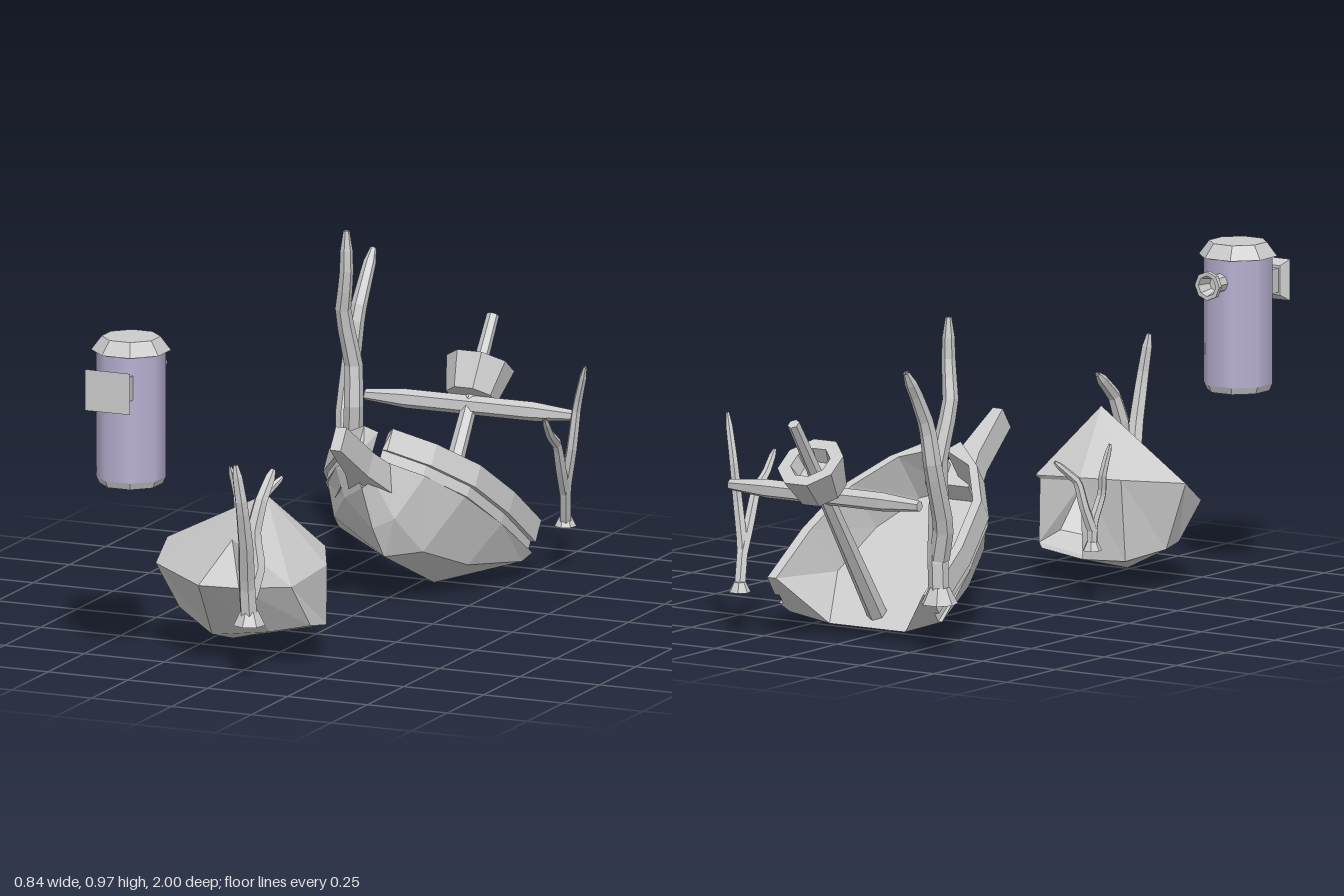
import * as THREE from 'three';

const flat = new THREE.MeshStandardMaterial({ color: 0xcccccc, flatShading: true, side: THREE.DoubleSide });
const violet = new THREE.MeshStandardMaterial({ color: 0xb9b0d2, side: THREE.DoubleSide });

function add(parent, name, geometry, pos = [0, 0, 0], material = flat) {
  const mesh = new THREE.Mesh(geometry, material);
  mesh.name = name;
  mesh.position.set(...pos);
  parent.add(mesh);
  return mesh;
}

const lathe = (points, sides) => new THREE.LatheGeometry(points.map(p => new THREE.Vector2(...p)), sides);

// Joins equal-length loops of points; caps and skip(i, j) are optional
function loft(loops, caps = [], skip = () => false) {
  const n = loops[0].length, index = [];
  for (let i = 0; i < loops.length - 1; i++) {
    for (let j = 0; j < n; j++) {
      if (skip(i, j)) continue;
      const a = i * n + j, b = i * n + (j + 1) % n;
      index.push(a, b, b + n, a, b + n, a + n);
    }
  }
  const last = (loops.length - 1) * n;
  for (const [a, b, c] of caps) index.push(a, c, b, last + a, last + b, last + c);
  const g = new THREE.BufferGeometry();
  g.setAttribute('position', new THREE.Float32BufferAttribute(loops.flat(2), 3));
  g.setIndex(index);
  g.computeVertexNormals();
  return g;
}

// Six-sided kinked stem that thins towards its tip
function stem(points, radius) {
  const curve = new THREE.CatmullRomCurve3(points.map(p => new THREE.Vector3(...p)), false, 'catmullrom', 0.12);
  const steps = 14, sides = 6;
  const g = new THREE.TubeGeometry(curve, steps, radius, sides);
  const pos = g.attributes.position, v = new THREE.Vector3();
  for (let i = 0; i <= steps; i++) {
    const c = curve.getPointAt(i / steps);
    const k = i === steps ? 0.3 : 1 - 0.45 * (i / steps) ** 2;
    for (let j = 0; j <= sides; j++) {
      const id = i * (sides + 1) + j;
      v.fromBufferAttribute(pos, id).sub(c).multiplyScalar(k).add(c);
      pos.setXYZ(id, v.x, v.y, v.z);
    }
  }
  return g;
}

function seaweed(name, radius, stems) {
  const g = new THREE.Group();
  g.name = name;
  const [x, y, z] = stems[0][0], h = radius * 1.6;
  add(g, 'weedFoot', new THREE.CylinderGeometry(radius, radius * 1.8, h, 7), [x, y + h / 2, z]);
  stems.forEach(p => add(g, 'weedStem', stem(p, radius)));
  return g;
}

// Filter canister with lid, front plate and rear nozzle
function filter() {
  const g = new THREE.Group();
  g.name = 'filter';
  g.position.set(-0.314, 0, 0.837);
  const drum = (name, top, bottom, y0, y1, mat, open = false) => {
    const geo = new THREE.CylinderGeometry(top, bottom, y1 - y0, 8, 1, open).rotateY(Math.PI / 8);
    add(g, name, geo, [0, (y0 + y1) / 2, 0], mat);
  };
  drum('body', 0.1, 0.1, 0.56, 0.932, violet, true);
  drum('bodyBase', 0.1, 0.091, 0.54, 0.56, flat);
  drum('lid', 0.084, 0.114, 0.93, 0.97, flat);
  add(g, 'plateNeck', new THREE.BoxGeometry(0.09, 0.07, 0.06), [0, 0.84, 0.115]);
  const plate = new THREE.CylinderGeometry(0.099, 0.07, 0.022, 4).rotateY(Math.PI / 4).rotateX(Math.PI / 2);
  add(g, 'frontPlate', plate.scale(1, 0.86, 1), [0, 0.84, 0.152]);
  const profile = [[0.027, 0], [0.027, 0.04], [0.042, 0.06], [0.042, 0.074], [0.03, 0.074], [0.02, 0.03], [0, 0.03]];
  add(g, 'nozzle', lathe(profile, 8).rotateX(-Math.PI / 2), [0, 0.862, -0.085]);
  return g;
}

// Faceted rock, hollow, with its mouth towards the back
function rockCave() {
  const wide = [[-0.34, 0.315, 0.53], [-0.205, 0.33, 0.4], [-0.085, 0.33, 0.37], [0.11, 0.31, 0.43], [0.16, 0.28, 0.53],
    [0.13, 0.25, 0.71], [0.0, 0.25, 0.785], [-0.12, 0.25, 0.8], [-0.34, 0.255, 0.61]];
  const base = [[-0.28, 0.12, 0.52], [-0.2, 0.09, 0.43], [-0.08, 0.09, 0.39], [0.09, 0.1, 0.435], [0.15, 0.1, 0.51],
    [0.15, 0.12, 0.62], [0.04, 0.1, 0.66], [-0.14, 0.075, 0.66], [-0.27, 0.13, 0.6]];
  const peak = [0.01, 0.493, 0.62];
  const top = wide.map(() => peak);
  // One front corner swells outwards; the rest runs straight to the peak
  const shoulder = wide.map((p, j) => p.map((v, a) =>
    peak[a] + (v - peak[a]) * (j === 6 ? 0.85 : 0.5) + (j === 6 && a === 1 ? 0.08 : 0)));
  const under = wide.map(() => [-0.12, 0.045, 0.56]);
  const g = new THREE.Group();
  g.name = 'rockCave';
  add(g, 'rock', loft([under, base, wide, shoulder, top], [], (i, j) => i === 1 && (j === 2 || j === 3)));
  return g;
}

// Sunken ship, built level and then tilted bow up
function shipwreck() {
  const g = new THREE.Group();
  g.name = 'shipwreck';
  g.rotation.x = -35 * Math.PI / 180;
  g.position.x = -0.006;

  // Stations: z, rim and side half-width, left chine, right chine, keel, deck half-width
  const stations = [
    [-0.476, 0.282, 0.28, [0.255, 0.4], [-0.28, 0.43], [0.045, 0.275, -0.387], 0.13],
    [-0.27, 0.275, 0.26, [0.19, 0.295], [-0.235, 0.37], [0.05, 0.245, -0.25], 0.215],
    [-0.083, 0.238, 0.215, [0.13, 0.25], [-0.17, 0.33], [0.04, 0.203, -0.03], 0.185],
    [0.05, 0.15, 0.14, [0.08, 0.29], [-0.09, 0.34], [0.02, 0.255, 0.05], 0.11],
    [0.138, 0.045, 0.04, [0.025, 0.37], [-0.025, 0.37], [0, 0.338, 0.144], 0.02],
  ];
  const loops = stations.map(([z, rim, side, left, right, keel, deck], i) => {
    const back = i === 4 ? 0.04 : 0, neck = rim - 0.016;
    const half = [[side, 0.43, z], [neck, 0.43, z], [neck, 0.463, z], [rim, 0.463, z], [rim, 0.531, z],
      [Math.max(rim - 0.03, 0.015), 0.531, z - back], [deck, 0.37, z - back]];
    const mirrored = half.map(([x, y, d]) => [-x, y, d]).reverse();
    return [keel, [...left, z], ...half, ...mirrored, [...right, z]];
  });
  const halfCap = [[0, 1, 8], [1, 2, 3], [1, 3, 8], [3, 4, 8], [4, 5, 6], [4, 6, 7], [4, 7, 8]];
  const mirrorCap = halfCap.map(tri => tri.map(k => (17 - k) % 17));
  add(g, 'hull', loft(loops, [...halfCap, ...mirrorCap, [0, 8, 9]]));

  // Bowsprit
  const rect = (w, z) => [[-w, 0.355, z], [w, 0.355, z], [w, 0.428, z], [-w, 0.428, z]];
  add(g, 'bowsprit', loft([rect(0.075, 0.06), rect(0.035, 0.2), rect(0.017, 0.38)], [[0, 1, 2], [0, 2, 3]]));

  // Mast, yard and lookout tub
  add(g, 'mast', new THREE.CylinderGeometry(0.018, 0.03, 0.756, 6), [0, 0.738, -0.416]);
  const spar = [[0, -0.325], [0.016, -0.325], [0.028, -0.2], [0.028, 0.2], [0.016, 0.325], [0, 0.325]];
  add(g, 'yard', lathe(spar, 6).rotateZ(Math.PI / 2), [0, 0.835, -0.416]);
  const tub = [[0, 0.86], [0.075, 0.86], [0.1, 0.965], [0.06, 0.965], [0.05, 0.92], [0, 0.92]];
  add(g, 'lookoutTub', lathe(tub, 8).rotateY(Math.PI / 8), [0, 0, -0.416]);
  return g;
}

export function createModel() {
  const model = new THREE.Group();
  model.name = 'aquariumDecor';
  model.add(filter(), rockCave(), shipwreck());

  // Seaweed clumps, each a main stem and a branch
  model.add(
    seaweed('frontWeed', 0.026, [
      [[0.055, 0.16, 0.835], [0.055, 0.28, 0.85], [0.07, 0.4, 0.89], [0.075, 0.53, 0.93], [0.06, 0.65, 0.94]],
      [[0.055, 0.24, 0.835], [0.06, 0.32, 0.79], [0.04, 0.41, 0.775], [0.05, 0.5, 0.745], [0.05, 0.575, 0.66]],
    ]),
    seaweed('sideWeed', 0.018, [
      [[0.31, 0.13, -0.785], [0.33, 0.25, -0.74], [0.36, 0.38, -0.72], [0.375, 0.5, -0.72], [0.415, 0.625, -0.69]],
      [[0.325, 0.23, -0.75], [0.335, 0.31, -0.7], [0.345, 0.4, -0.65], [0.35, 0.44, -0.59], [0.36, 0.5, -0.53]],
    ]),
    seaweed('tallWeed', 0.03, [
      [[-0.335, 0.15, -0.725], [-0.33, 0.29, -0.725], [-0.31, 0.43, -0.69], [-0.315, 0.56, -0.7], [-0.33, 0.72, -0.66], [-0.31, 0.83, -0.64], [-0.31, 0.965, -0.64]],
      [[-0.335, 0.28, -0.725], [-0.36, 0.38, -0.74], [-0.37, 0.56, -0.81], [-0.36, 0.68, -0.825], [-0.355, 0.77, -0.87], [-0.355, 0.85, -0.925]],
    ]),
    seaweed('smallWeed', 0.016, [
      [[-0.24, 0.16, 0.2], [-0.24, 0.24, 0.205], [-0.25, 0.32, 0.235], [-0.26, 0.38, 0.225], [-0.275, 0.465, 0.24]],
      [[-0.24, 0.22, 0.2], [-0.225, 0.29, 0.18], [-0.21, 0.36, 0.17], [-0.165, 0.42, 0.12]],
    ]),
  );
  return model;
}
